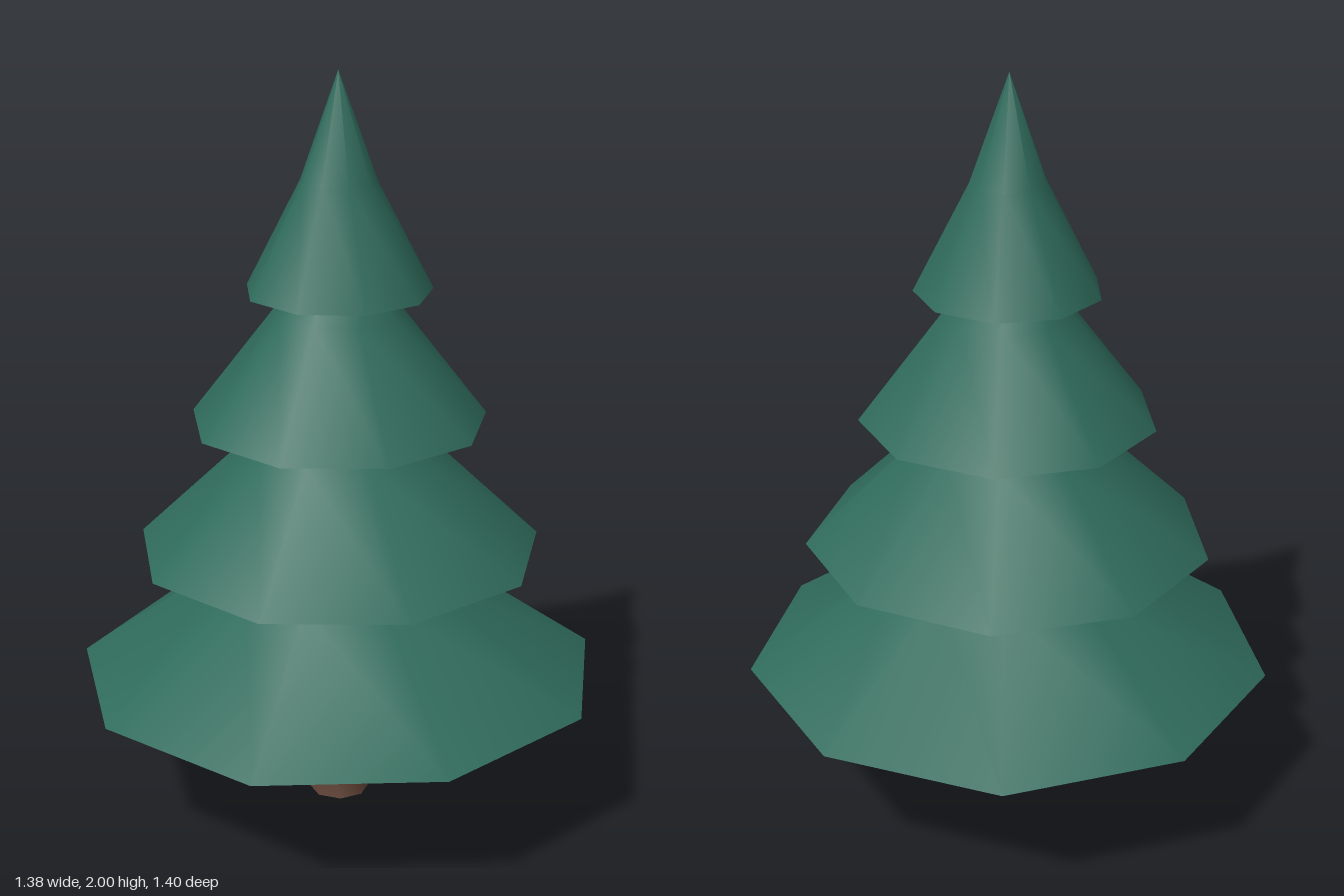
import * as THREE from 'three';

export function createModel() {
  const green = new THREE.MeshStandardMaterial({ color: 0x2f6b5b });
  green.name = 'pine green';
  const brown = new THREE.MeshStandardMaterial({ color: 0x5c3f32 });
  brown.name = 'bark brown';

  const tree = new THREE.Group();
  tree.name = 'pineTree';

  // Smooth lathed part with a flat, sharp-edged underside
  function lathed(name, profile, sides, turn, material) {
    const part = new THREE.Group();
    part.name = name;
    const start = Math.PI / 2 - THREE.MathUtils.degToRad(turn);
    const add = (label, pts) => {
      const geo = new THREE.LatheGeometry(pts.map(([r, y]) => new THREE.Vector2(r, y)), sides, start);
      const mesh = new THREE.Mesh(geo, material);
      mesh.name = label;
      part.add(mesh);
    };
    add(name + 'Surface', profile);
    add(name + 'Underside', [[0, profile[0][1]], profile[0]]);
    part.position.set(-0.025, 0, 0.01);
    tree.add(part);
  }

  // Trunk with flared foot
  lathed('trunk', [[0.083, 0], [0.057, 0.075], [0.041, 0.42]], 8, 10, brown);

  // Four nine-sided skirts: turn in degrees, then rim, kink and apex
  const tiers = [
    [0, [[0.71, 0.375], [0.29, 0.67], [0, 1.0]]],
    [3.5, [[0.545, 0.73], [0.235, 1.03], [0, 1.34]]],
    [4, [[0.395, 1.085], [0.17, 1.38], [0, 1.69]]],
    [7, [[0.246, 1.435], [0.1, 1.72], [0, 2]]],
  ];
  tiers.forEach(([turn, profile], i) => lathed('foliageTier' + (i + 1), profile, 9, turn, green));

  return tree;
}
